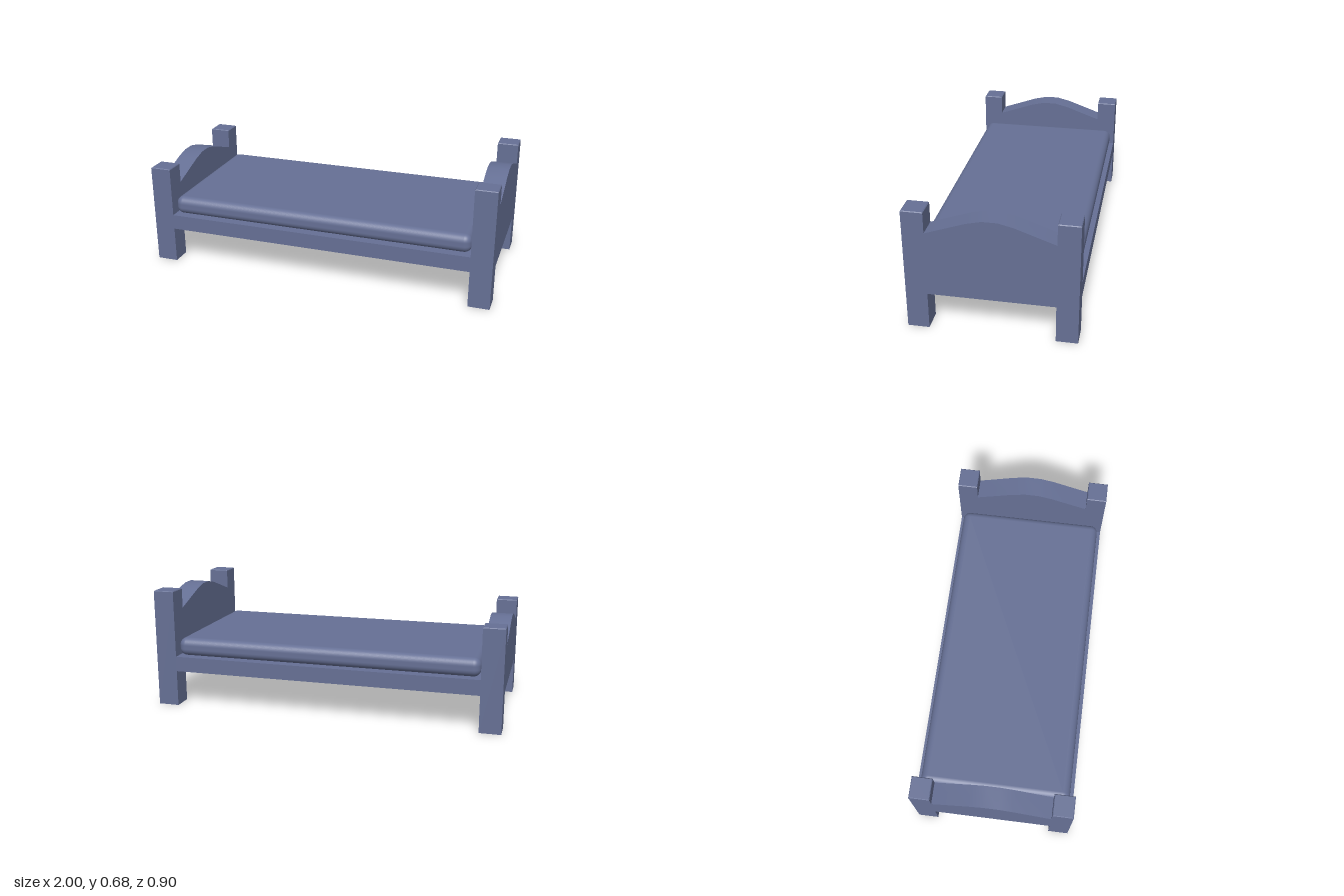
import * as THREE from 'three';
import { toCreasedNormals } from 'three/addons/utils/BufferGeometryUtils.js';
import { RoundedBoxGeometry } from 'three/addons/geometries/RoundedBoxGeometry.js';

const POST_X = 0.12, POST_Z = 0.115, HALF_Z = 0.448, RAIL_Y = 0.208, DECK_Y = 0.295;

export function createModel() {
  const model = new THREE.Group();
  model.name = 'bed';
  const material = new THREE.MeshStandardMaterial({ color: 0x667095 });

  const add = (name, geometry, x, y, z, parent = model) => {
    const mesh = new THREE.Mesh(geometry, material);
    mesh.name = name;
    mesh.position.set(x, y, z);
    parent.add(mesh);
  };

  // Square post standing on y = 0 with a fine chamfer around its top
  const postGeometry = (height) => {
    const bevel = 0.004;
    const box = new THREE.BoxGeometry(POST_X, height, POST_Z, 1, 2, 1).translate(0, height / 2, 0);
    const p = box.attributes.position;
    for (let i = 0; i < p.count; i++) {
      const y = p.getY(i);
      if (y > height * 0.9) {
        p.setX(i, p.getX(i) - Math.sign(p.getX(i)) * bevel);
        p.setZ(i, p.getZ(i) - Math.sign(p.getZ(i)) * bevel);
      } else if (y > height * 0.1) {
        p.setY(i, height - bevel);
      }
    }
    const flat = box.toNonIndexed();
    flat.computeVertexNormals();
    return flat;
  };

  // End panel with an arched top, running between the posts
  const panelGeometry = (postHeight) => {
    const half = HALF_Z - POST_Z;
    const arch = [[half, -0.116], [0.12, -0.041], [0.04, -0.022]];
    const shape = new THREE.Shape();
    shape.moveTo(-half, RAIL_Y);
    shape.lineTo(half, RAIL_Y);
    arch.forEach(([z, drop]) => shape.lineTo(z, postHeight + drop));
    [...arch].reverse().forEach(([z, drop]) => shape.lineTo(-z, postHeight + drop));
    shape.closePath();
    const panel = new THREE.ExtrudeGeometry(shape, { depth: POST_X, bevelEnabled: false });
    panel.translate(0, 0, -POST_X / 2).rotateY(Math.PI / 2);
    return toCreasedNormals(panel, 0.6);
  };

  // Tall head end at +x, lower foot end at -x
  for (const [name, side, height] of [['head', 1, 0.68], ['foot', -1, 0.58]]) {
    const end = new THREE.Group();
    end.name = name + 'End';
    end.position.x = side * (1 - POST_X / 2);
    model.add(end);
    add(name + 'Board', panelGeometry(height), 0, 0, 0, end);
    for (const z of [1, -1]) {
      add(name + (z > 0 ? 'FrontPost' : 'BackPost'), postGeometry(height), 0, 0, z * (HALF_Z - POST_Z / 2), end);
    }
  }

  // Bed base, flush with the posts
  add('base', new THREE.BoxGeometry(2 - 2 * POST_X, DECK_Y - RAIL_Y, 2 * HALF_Z), 0, (RAIL_Y + DECK_Y) / 2, 0);

  // Soft-edged mattress
  add('mattress', new RoundedBoxGeometry(1.75, 0.105, 0.85, 5, 0.042), 0, DECK_Y + 0.0525, 0);

  return model;
}
